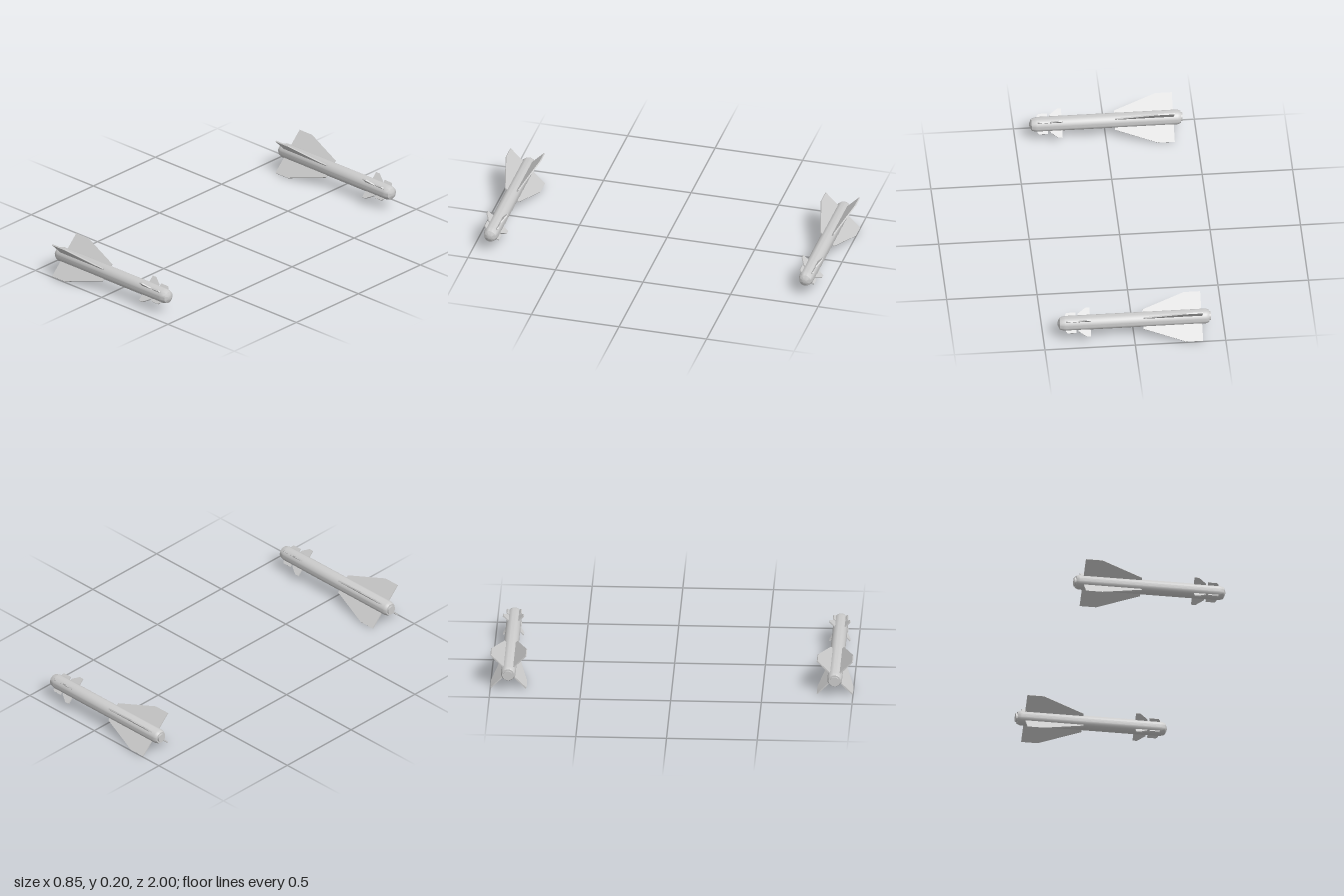
import * as THREE from 'three';
import { toCreasedNormals } from 'three/addons/utils/BufferGeometryUtils.js';

const FIN_THICKNESS = 0.007;
const material = new THREE.MeshStandardMaterial({ color: 0xcccccc });

// Outlines as [position along the axis, distance from the axis]
const BODY = [
  [-0.425, 0], [-0.425, 0.025], [-0.416, 0.025], [-0.416, 0.033], [-0.409, 0.037], [-0.397, 0.041],
  [0.378, 0.041], [0.386, 0.04], [0.402, 0.036], [0.41, 0.033], [0.416, 0.021], [0.421, 0.01], [0.423, 0],
];
const FINS = {
  tailFin: [[-0.375, 0.035], [-0.05, 0.035], [-0.05, 0.054], [-0.283, 0.138], [-0.375, 0.138]],
  controlFin: [[0.241, 0.035], [0.308, 0.035], [0.308, 0.049], [0.265, 0.08], [0.241, 0.08]],
  noseVane: [[0.32, 0.035], [0.378, 0.035], [0.378, 0.048], [0.369, 0.057], [0.32, 0.057]],
};

// Round body lying along x, nose towards +x
function bodyGeometry() {
  const profile = BODY.map(([x, r]) => new THREE.Vector2(r, x));
  const geometry = new THREE.LatheGeometry(profile, 32);
  geometry.rotateZ(-Math.PI / 2);
  return toCreasedNormals(geometry, 0.4);
}

// Flat plate centred on the xy plane
function finGeometry(outline) {
  const shape = new THREE.Shape(outline.map(([x, r]) => new THREE.Vector2(x, r)));
  const geometry = new THREE.ExtrudeGeometry(shape, { depth: FIN_THICKNESS, bevelEnabled: false });
  geometry.translate(0, 0, -FIN_THICKNESS / 2);
  return geometry;
}

function createMissile(bodyGeo, finGeos) {
  const missile = new THREE.Group();
  missile.name = 'missile';
  const body = new THREE.Mesh(bodyGeo, material);
  body.name = 'body';
  missile.add(body);

  // Four of each fin in an X around the body
  for (const [name, geometry] of Object.entries(finGeos)) {
    for (let i = 0; i < 4; i++) {
      const fin = new THREE.Mesh(geometry, material);
      fin.name = name;
      fin.rotation.x = Math.PI / 4 + i * Math.PI / 2;
      missile.add(fin);
    }
  }
  return missile;
}

export function createModel() {
  const model = new THREE.Group();
  model.name = 'missilePair';
  const bodyGeo = bodyGeometry();
  const finGeos = {};
  for (const [name, outline] of Object.entries(FINS)) finGeos[name] = finGeometry(outline);

  // Two parallel missiles, one in front and one behind
  for (const z of [0.9, -0.9]) {
    const missile = createMissile(bodyGeo, finGeos);
    missile.name = z > 0 ? 'frontMissile' : 'backMissile';
    missile.position.set(0, 0.1, z);
    model.add(missile);
  }
  return model;
}
